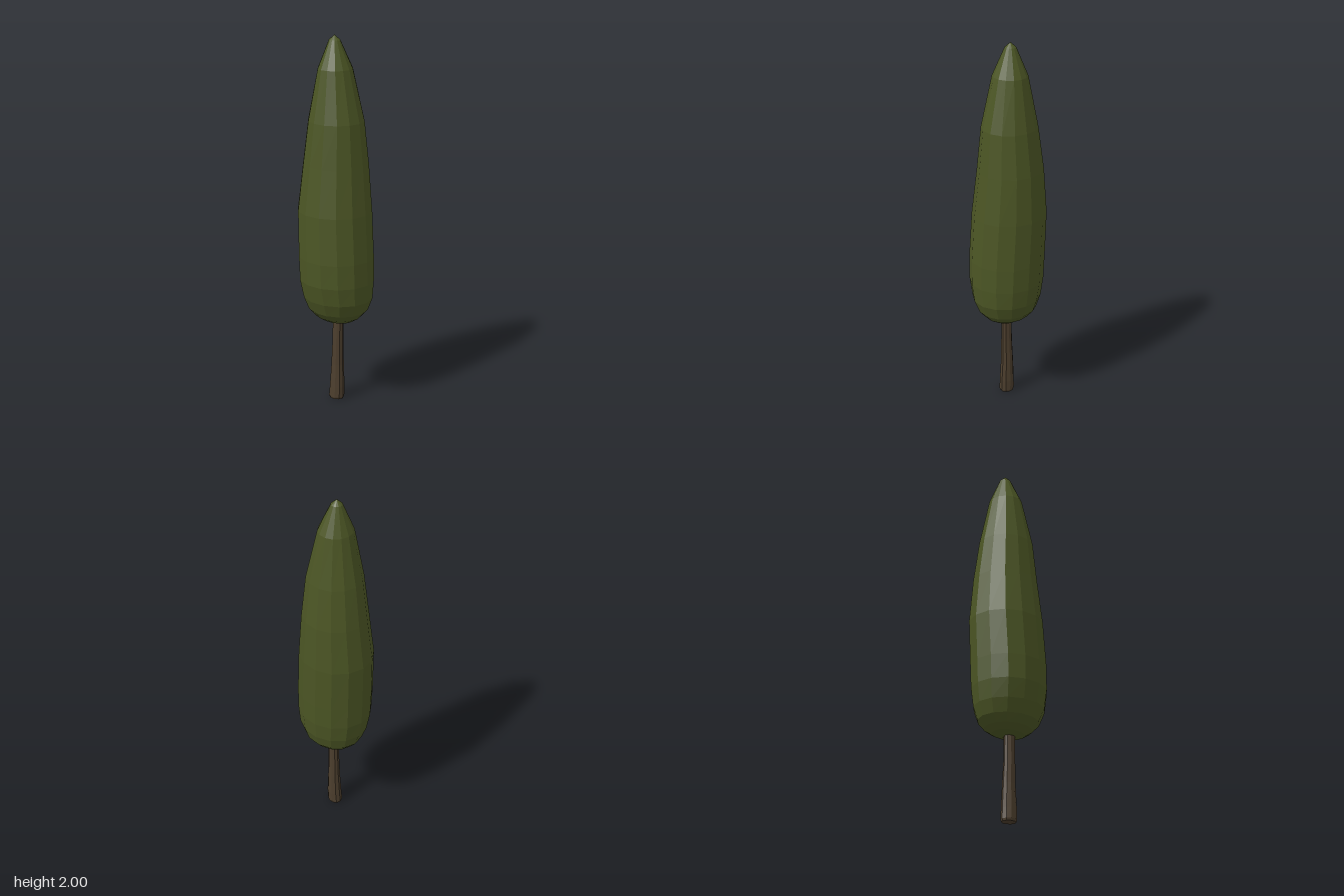
import * as THREE from 'three';

// Skin closed through horizontal rings, each [y, minX, maxX, minZ, maxZ], bottom to top
function loft(rings, sides, material, name) {
  const positions = [];
  const index = [];
  for (const [y, x0, x1, z0, z1] of rings) {
    for (let i = 0; i < sides; i++) {
      const a = Math.PI + (i / sides) * Math.PI * 2;
      positions.push(
        (x0 + x1) / 2 + (Math.sin(a) * (x1 - x0)) / 2,
        y,
        (z0 + z1) / 2 + (Math.cos(a) * (z1 - z0)) / 2
      );
    }
  }
  for (let r = 0; r < rings.length - 1; r++) {
    for (let i = 0; i < sides; i++) {
      const j = (i + 1) % sides;
      const a = r * sides + i, b = r * sides + j;
      index.push(a, b, b + sides, a, b + sides, a + sides);
    }
  }
  // End caps
  const top = (rings.length - 1) * sides;
  for (let i = 1; i < sides - 1; i++) {
    index.push(0, i + 1, i, top, top + i, top + i + 1);
  }
  const indexed = new THREE.BufferGeometry();
  indexed.setAttribute('position', new THREE.Float32BufferAttribute(positions, 3));
  indexed.setIndex(index);
  const geometry = indexed.toNonIndexed();
  geometry.computeVertexNormals(); // one normal per facet
  const mesh = new THREE.Mesh(geometry, material);
  mesh.name = name;
  return mesh;
}

export function createModel() {
  const leafGreen = new THREE.MeshStandardMaterial({ color: 0x4b5524 });
  leafGreen.name = 'leaf green';
  const barkBrown = new THREE.MeshStandardMaterial({ color: 0x4c3e2d });
  barkBrown.name = 'bark brown';

  const group = new THREE.Group();
  group.name = 'cypressTree';

  // Slightly crooked trunk, running up into the foliage
  group.add(loft([
    [0, -0.037, 0.033, -0.035, 0.045],
    [0.012, -0.041, 0.036, -0.038, 0.049],
    [0.07, -0.038, 0.038, -0.034, 0.049],
    [0.2, -0.031, 0.035, -0.026, 0.043],
    [0.32, -0.028, 0.030, -0.020, 0.042],
    [0.5, -0.024, 0.029, -0.016, 0.042]
  ], 10, barkBrown, 'trunk'));

  // Tall tapering foliage, rounded underneath
  group.add(loft([
    [0.455, -0.03, 0.04, -0.04, 0.05],
    [0.465, -0.07, 0.08, -0.085, 0.1],
    [0.49, -0.11, 0.12, -0.125, 0.14],
    [0.53, -0.145, 0.155, -0.16, 0.177],
    [0.6, -0.175, 0.178, -0.185, 0.205],
    [0.7, -0.197, 0.19, -0.2, 0.212],
    [0.83, -0.2, 0.194, -0.205, 0.21],
    [1.08, -0.192, 0.196, -0.213, 0.193],
    [1.33, -0.162, 0.182, -0.187, 0.168],
    [1.56, -0.137, 0.153, -0.157, 0.146],
    [1.83, -0.087, 0.1, -0.102, 0.08],
    [1.975, -0.025, 0.035, -0.045, 0.015],
    [2, 0.003, 0.007, -0.017, -0.013]
  ], 14, leafGreen, 'foliage'));

  return group;
}
